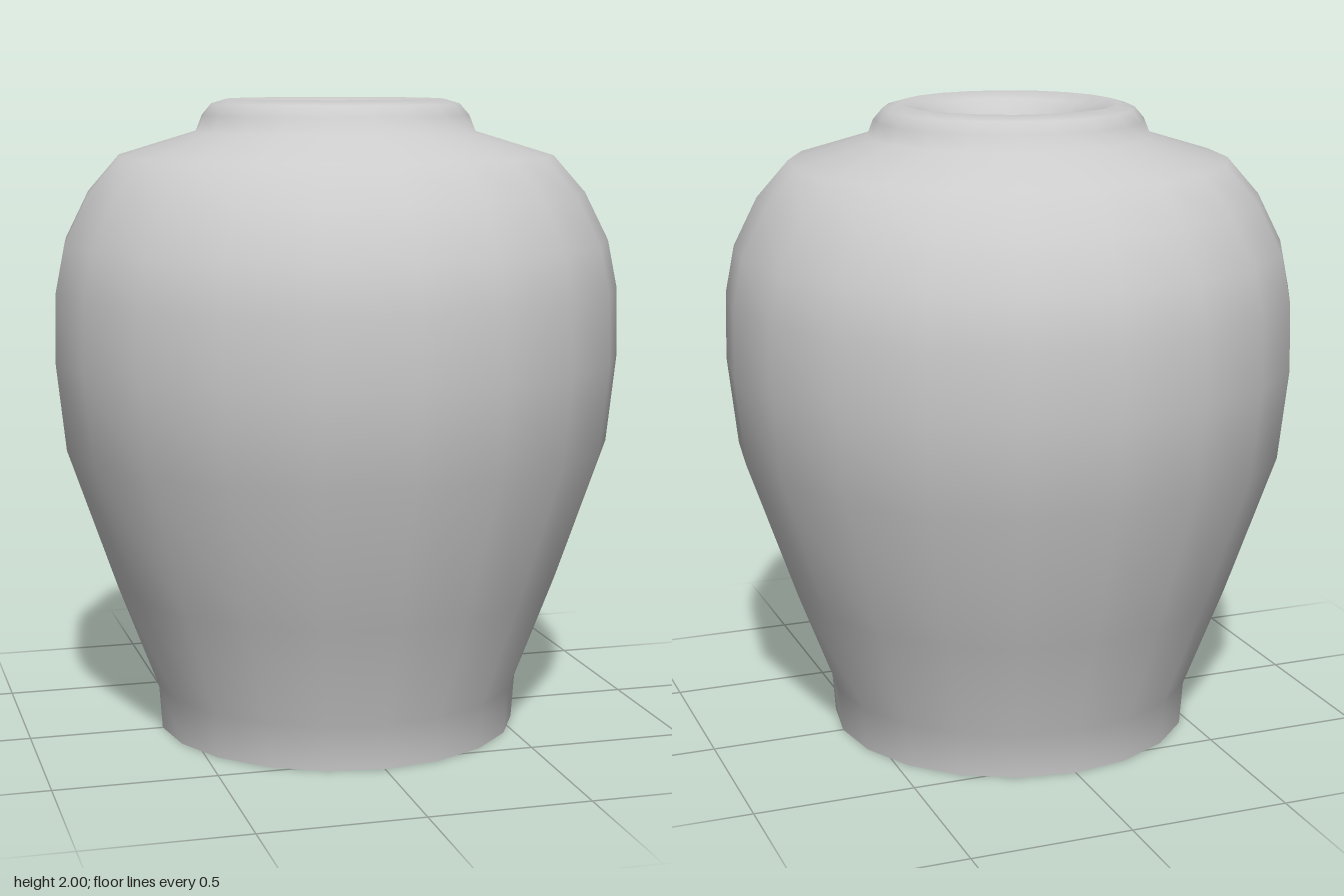
import * as THREE from 'three';

const SIDES = 20;

// Turned surface from [radius, height] pairs, ordered bottom to top
function turned(name, profile, material) {
  const points = profile.map(([r, y]) => new THREE.Vector2(r, y));
  const mesh = new THREE.Mesh(new THREE.LatheGeometry(points, SIDES), material);
  mesh.name = name;
  return mesh;
}

export function createModel() {
  const group = new THREE.Group();
  group.name = 'vase';
  const material = new THREE.MeshStandardMaterial({ color: 0xcccccc, side: THREE.DoubleSide });

  // Foot, belly, shoulder, rolled lip and the funnel down to the narrow throat
  group.add(turned('body', [
    [0.575, 0], [0.585, 0.14], [0.71, 0.47], [0.865, 0.92],
    [0.895, 1.2], [0.89, 1.41], [0.86, 1.56], [0.785, 1.71], [0.685, 1.825],
    [0.44, 1.9], [0.42, 1.95], [0.39, 1.985], [0.34, 2.0],
    [0.28, 1.98], [0.22, 1.93], [0.185, 1.85],
  ], material));

  // Flat bottom, facing down and visible through the throat
  const base = new THREE.Mesh(new THREE.CircleGeometry(0.575, SIDES), material);
  base.name = 'base';
  base.rotation.x = Math.PI / 2;
  group.add(base);

  return group;
}
